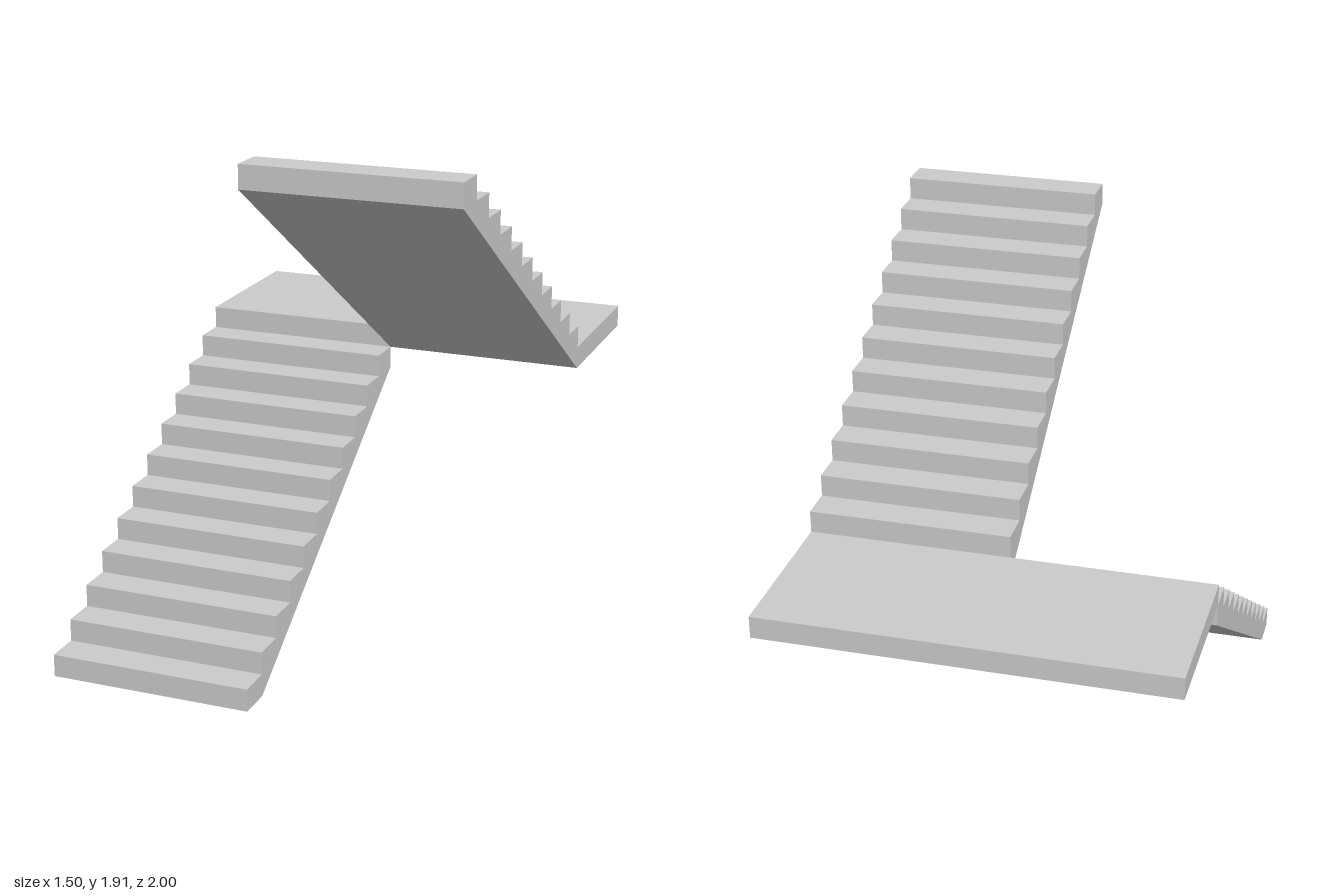
import * as THREE from 'three';

const STEPS = 11;
const RISE = 0.083;
const BACK = -0.39;              // z where both flights meet the landing
const TREAD = (1 - BACK) / STEPS;
const WIDTH = 0.75;

const material = new THREE.MeshStandardMaterial({ color: 0xcccccc, flatShading: true });

// Extrudes a side profile given as [z, y] points across the flight width
function flight(name, points, x) {
  const shape = new THREE.Shape(points.map(([z, y]) => new THREE.Vector2(z, y)));
  const geometry = new THREE.ExtrudeGeometry(shape, { depth: WIDTH, bevelEnabled: false });
  geometry.rotateY(-Math.PI / 2); // profile run becomes z, depth becomes -x
  const mesh = new THREE.Mesh(geometry, material);
  mesh.name = name;
  mesh.position.x = x;
  return mesh;
}

// Sawtooth of risers and treads climbing from (z, y) in direction dir
function steps(z, y, dir) {
  const points = [];
  for (let i = 0; i < STEPS; i++) {
    points.push([z + dir * i * TREAD, y + (i + 1) * RISE]);
    points.push([z + dir * (i + 1) * TREAD, y + (i + 1) * RISE]);
  }
  return points;
}

export function createModel() {
  const group = new THREE.Group();
  group.name = 'halfTurnStaircase';

  // Lower flight climbs from the front to the landing, foot cut flat on the ground
  group.add(flight('lowerFlight', [
    [1, 0], ...steps(1, 0, -1), [BACK, (STEPS - 1) * RISE], [1 - TREAD, 0],
  ], 0));

  // Landing slab across both flights
  const depth = BACK + 1;
  const landing = new THREE.Mesh(new THREE.BoxGeometry(2 * WIDTH, RISE, depth), material);
  landing.name = 'landing';
  landing.position.set(0, (STEPS + 0.5) * RISE, -1 + depth / 2);
  group.add(landing);

  // Upper flight climbs back towards the front
  const top = (STEPS + 1) * RISE;
  group.add(flight('upperFlight', [
    [BACK, top - RISE], ...steps(BACK, top, 1), [1, top + (STEPS - 1) * RISE],
  ], WIDTH));

  return group;
}
